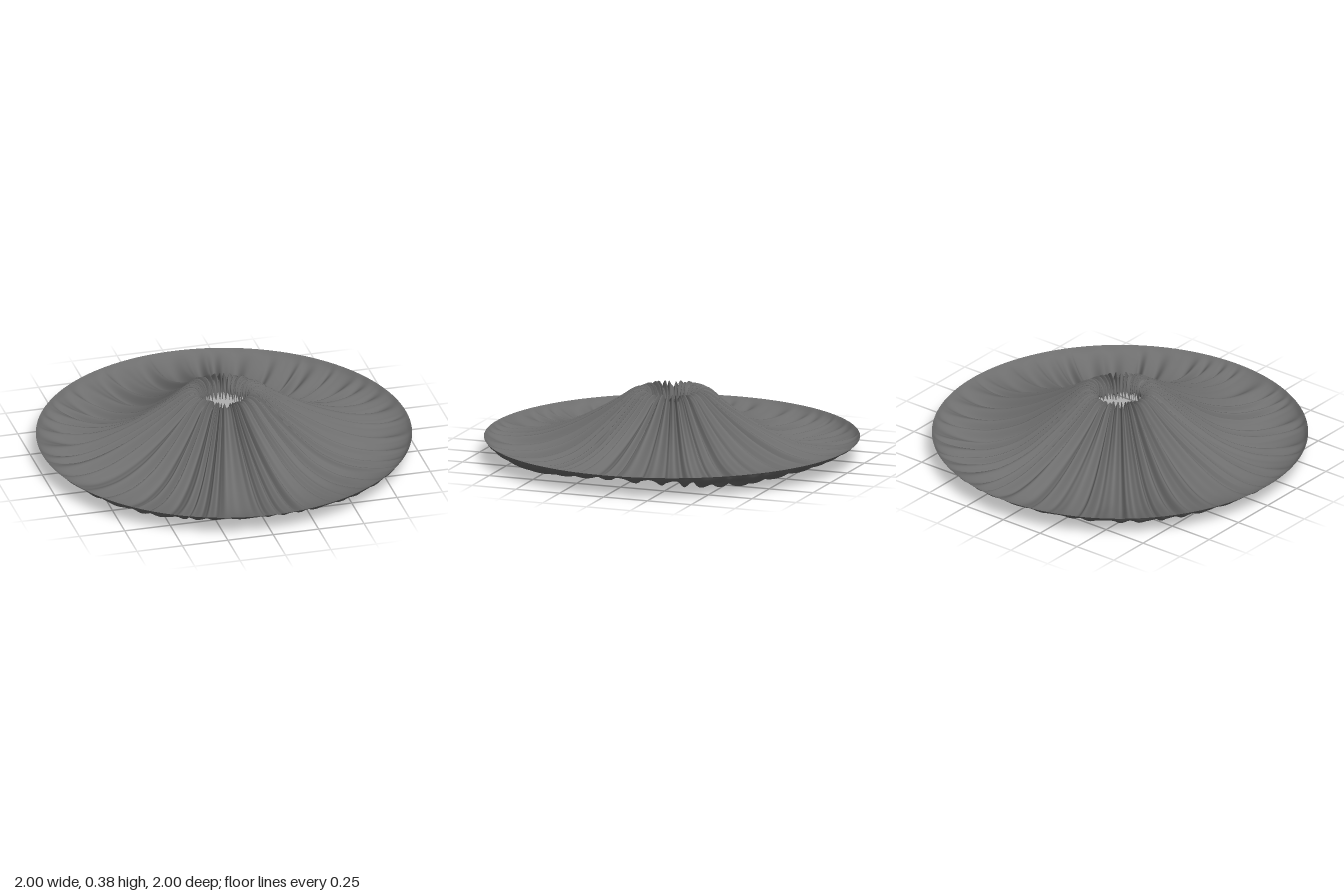
import * as THREE from 'three';

const PLEATS = 46, STEPS = 14, RINGS = 70;

// Small seeded generator so the folds are irregular but repeatable
function seeded(seed) {
  return () => {
    seed = (seed * 16807) % 2147483647;
    return seed / 2147483647;
  };
}

// Cross-section from rim to gathered neck: radius, height, pleat depth
const curve = rows => new THREE.CatmullRomCurve3(rows.map(p => new THREE.Vector3(...p)));
const axisSection = curve([
  [1, 0.124, 0], [0.975, 0.106, 0.004], [0.92, 0.088, 0.011], [0.82, 0.079, 0.02], [0.7, 0.1, 0.023],
  [0.55, 0.157, 0.024], [0.4, 0.232, 0.025], [0.28, 0.305, 0.025], [0.21, 0.354, 0.022],
  [0.172, 0.367, 0.019], [0.146, 0.352, 0.02], [0.133, 0.315, 0.022], [0.132, 0.278, 0.024],
]);
// The cloth sags lower between the four main directions
const diagonalSection = curve([
  [1, 0.124, 0], [0.975, 0.095, 0.004], [0.92, 0.067, 0.011], [0.82, 0.039, 0.019], [0.7, 0.03, 0.022],
  [0.55, 0.07, 0.023], [0.4, 0.172, 0.025], [0.28, 0.28, 0.025], [0.21, 0.349, 0.022],
  [0.172, 0.367, 0.019], [0.136, 0.352, 0.02], [0.118, 0.315, 0.022], [0.117, 0.278, 0.024],
]);

// Columns around the cloth: angle and fold height of each pleat
function pleatColumns() {
  const random = seeded(4217);
  const pleats = Array.from({ length: PLEATS }, () => ({
    width: 0.6 + 0.8 * random(),
    depth: 0.7 + 0.45 * random(),
    flip: random() > 0.5,
  }));
  const total = pleats.reduce((sum, p) => sum + p.width, 0);
  const columns = [];
  let start = 0;
  for (const p of pleats) {
    for (let k = 0; k < STEPS; k++) {
      const t = k / STEPS;
      // Skewed wave: one side of every fold is steeper
      const u = p.flip ? 1 - Math.pow(1 - t, 1.5) : Math.pow(t, 1.5);
      columns.push({
        angle: ((start + t * p.width) / total) * Math.PI * 2,
        fold: Math.sin(u * Math.PI * 2) * p.depth,
      });
    }
    start += p.width;
  }
  return columns;
}

function pleatedCloth() {
  const columns = pleatColumns();
  const n = columns.length;
  const positions = [], index = [];
  for (let i = 0; i <= RINGS; i++) {
    const a = axisSection.getPoint(i / RINGS);
    const d = diagonalSection.getPoint(i / RINGS);
    for (const { angle, fold } of columns) {
      const p = a.clone().lerp(d, (1 - Math.cos(4 * angle)) / 2);
      positions.push(p.x * Math.sin(angle), p.y + p.z * fold, p.x * Math.cos(angle));
    }
  }
  for (let i = 0; i < RINGS; i++) {
    for (let j = 0; j < n; j++) {
      const k = (j + 1) % n;
      const a = i * n + j, b = i * n + k, c = a + n, d = b + n;
      index.push(a, b, c, b, d, c);
    }
  }
  const geometry = new THREE.BufferGeometry();
  geometry.setAttribute('position', new THREE.Float32BufferAttribute(positions, 3));
  geometry.setIndex(index);
  geometry.computeVertexNormals();
  return geometry;
}

export function createModel() {
  const greyCloth = new THREE.MeshStandardMaterial({ color: 0x6e6e6e, side: THREE.DoubleSide });
  greyCloth.name = 'grey cloth';

  const group = new THREE.Group();
  group.name = 'pleatedCanopy';

  // Round sheet gathered into folds around the open neck
  const cloth = new THREE.Mesh(pleatedCloth(), greyCloth);
  cloth.name = 'pleatedCloth';
  group.add(cloth);

  return group;
}
